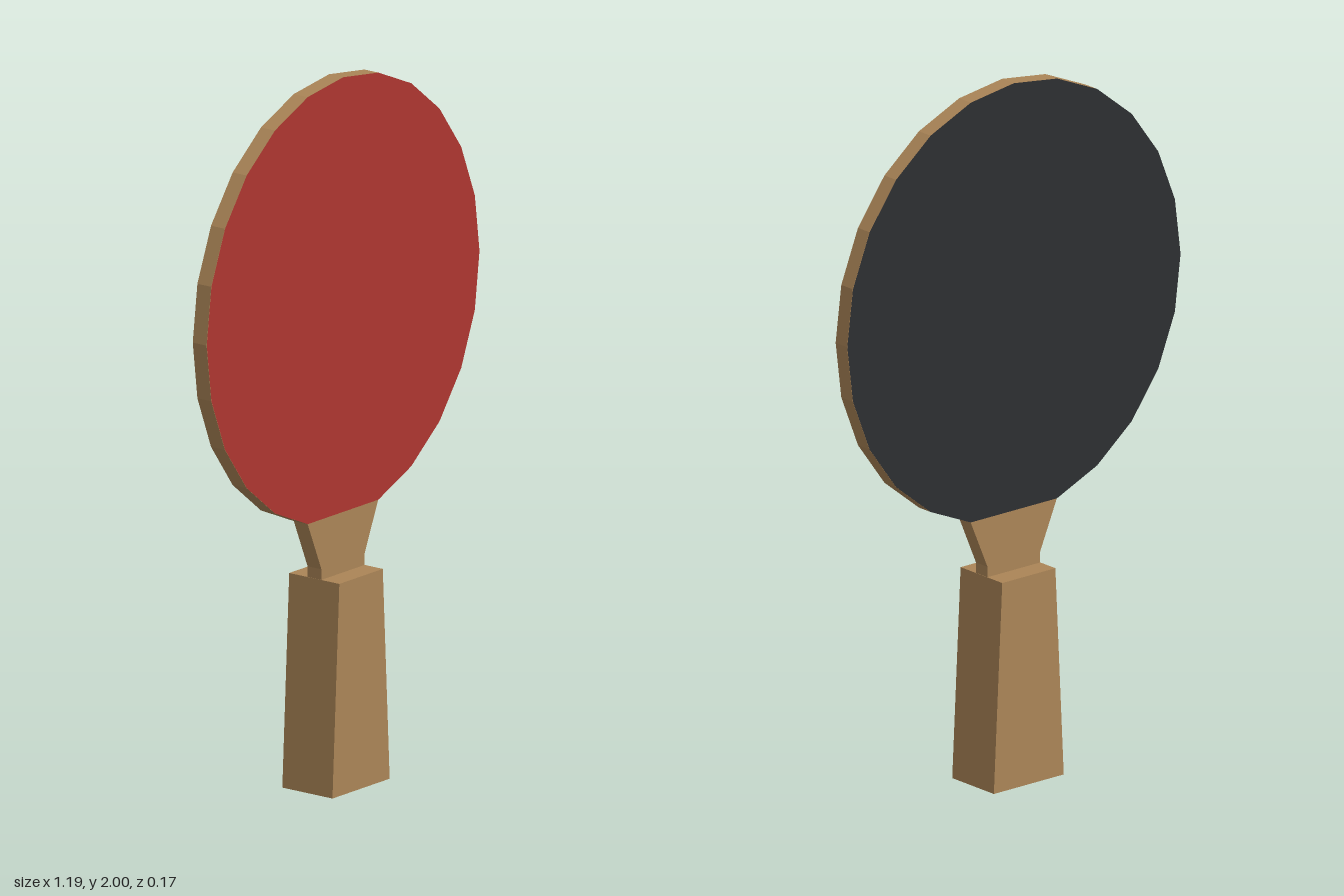
import * as THREE from 'three';

const mat = (color) => new THREE.MeshStandardMaterial({ color, flatShading: true });

// Flat plate from an outline, centred on z = 0
function plate(name, points, depth, material) {
  const geo = new THREE.ExtrudeGeometry(new THREE.Shape(points), { depth, bevelEnabled: false });
  geo.translate(0, 0, -depth / 2);
  const mesh = new THREE.Mesh(geo, material);
  mesh.name = name;
  return mesh;
}

export function createModel() {
  const group = new THREE.Group();
  group.name = 'paddle';
  const wood = mat(0xab8557);
  const P = (x, y) => new THREE.Vector2(x, y);

  // Oval outline: 24 sides with the lowest corner cut off
  const oval = [];
  for (let i = 1; i < 24; i++) {
    const a = -Math.PI / 2 + (i * Math.PI) / 12;
    oval.push(P(0.596 * Math.cos(a), 1.375 + 0.625 * Math.sin(a)));
  }

  // Wooden blade with its neck
  const neck = [P(-0.094, 0.63), P(-0.094, 0.6), P(0.094, 0.6), P(0.094, 0.63)];
  group.add(plate('blade', [...oval, ...neck], 0.048, wood));

  // Rubber sheets, red in front and black behind
  for (const [name, color, side] of [['frontRubber', 0xae3630, 1], ['backRubber', 0x2d2f31, -1]]) {
    const sheet = new THREE.Mesh(new THREE.ShapeGeometry(new THREE.Shape(oval)), mat(color));
    sheet.name = name;
    sheet.position.z = side * 0.0248;
    if (side < 0) sheet.rotation.y = Math.PI;
    group.add(sheet);
  }

  // Tapered grip
  const grip = [P(-0.125, 0), P(0.125, 0), P(0.095, 0.6), P(-0.095, 0.6)];
  group.add(plate('handle', grip, 0.174, wood));

  return group;
}
